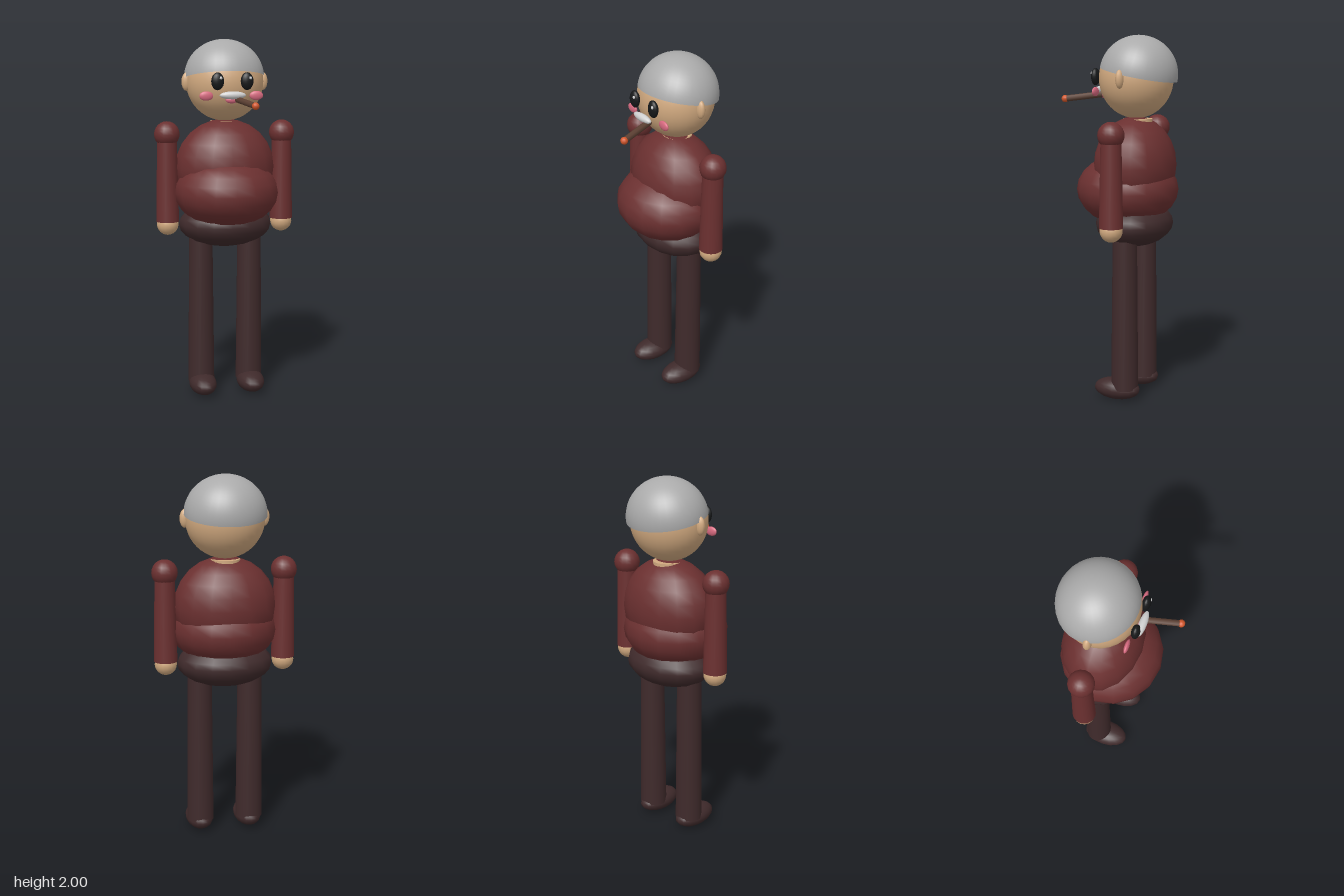
import * as THREE from 'three';

const paint = (name, color) => {
  const m = new THREE.MeshStandardMaterial({ color });
  m.name = name;
  return m;
};

export function createModel() {
  const sweater = paint('sweater red', 0x6b3030);
  const trousers = paint('trouser brown', 0x3f2a2b);
  const skin = paint('skin', 0xd2aa80);
  const grey = paint('hair grey', 0xaaaaaa);
  const pale = paint('moustache grey', 0xd0d0d0);
  const black = paint('eye black', 0x161819);
  const pink = paint('cheek pink', 0xd86a80);
  const tobacco = paint('cigar brown', 0x5c4033);
  const glow = paint('ember orange', 0xd2562a);

  const model = new THREE.Group();
  model.name = 'figure';

  const add = (name, geometry, material, pos) => {
    const mesh = new THREE.Mesh(geometry, material);
    mesh.name = name;
    mesh.position.set(...pos);
    model.add(mesh);
    return mesh;
  };
  // Ellipsoid given by centre and the three radii
  const blob = (name, material, pos, radii, w = 16, h = 12) =>
    add(name, new THREE.SphereGeometry(1, w, h).scale(...radii), material, pos);
  // Upright tapered tube between two heights
  const limb = (name, material, x, z, y0, y1, r0, r1) =>
    add(name, new THREE.CylinderGeometry(r1, r0, y1 - y0, 20), material, [x, (y0 + y1) / 2, z]);

  // Trunk
  blob('chest', sweater, [0, 1.3, -0.085], [0.28, 0.265, 0.217]);
  blob('belly', sweater, [0, 1.165, -0.04], [0.29, 0.2, 0.278]);
  blob('hips', trousers, [0, 0.98, -0.082], [0.262, 0.127, 0.205]);
  limb('neck', skin, 0, -0.1, 1.46, 1.553, 0.08, 0.08);

  // Head and tilted cap of hair
  blob('head', skin, [0, 1.77, -0.09], [0.214, 0.215, 0.2], 32, 24);
  const hairShape = new THREE.SphereGeometry(1, 32, 16, 0, Math.PI * 2, 0, Math.PI / 2);
  const hair = add('hair', hairShape.scale(0.222, 0.21, 0.211), grey, [0, 1.79, -0.104]);
  hair.rotation.x = -0.2;
  grey.side = THREE.DoubleSide;

  // Mirrored parts
  for (const [s, side] of [[1, 'left'], [-1, 'right']]) {
    blob(side + 'Ear', skin, [s * 0.214, 1.77, -0.085], [0.028, 0.05, 0.022], 12, 10);
    blob(side + 'Eye', black, [s * 0.08, 1.778, 0.115], [0.035, 0.047, 0.022]);
    blob(side + 'EyeGlint', pale, [s * 0.08 + 0.014, 1.795, 0.131], [0.009, 0.009, 0.006], 8, 6);
    blob(side + 'Cheek', pink, [s * 0.137, 1.7, 0.09], [0.038, 0.025, 0.012]);

    blob(side + 'Shoulder', sweater, [s * 0.325, 1.485, -0.085], [0.071, 0.071, 0.071]);
    limb(side + 'Sleeve', sweater, s * 0.325, -0.085, 1.0, 1.49, 0.064, 0.054);
    blob(side + 'Hand', skin, [s * 0.325, 0.985, -0.085], [0.061, 0.061, 0.061]);

    limb(side + 'Leg', trousers, s * 0.139, -0.083, 0.07, 0.96, 0.075, 0.066);
    blob(side + 'Shoe', trousers, [s * 0.139, 0.064, -0.037], [0.077, 0.06, 0.133]);
  }

  // Mouth and moustache
  blob('mouth', pink, [0, 1.678, 0.105], [0.036, 0.018, 0.014], 12, 8);
  blob('moustache', pale, [0, 1.704, 0.125], [0.072, 0.021, 0.021]);

  // Cigar with a glowing tip
  const from = new THREE.Vector3(0.025, 1.682, 0.1);
  const tip = new THREE.Vector3(0.084, 1.656, 0.298);
  const line = new THREE.LineCurve3(from, tip);
  add('cigar', new THREE.TubeGeometry(line, 1, 0.017, 8), tobacco, [0, 0, 0]);
  blob('ember', glow, tip.toArray(), [0.02, 0.02, 0.02], 12, 8);

  return model;
}
